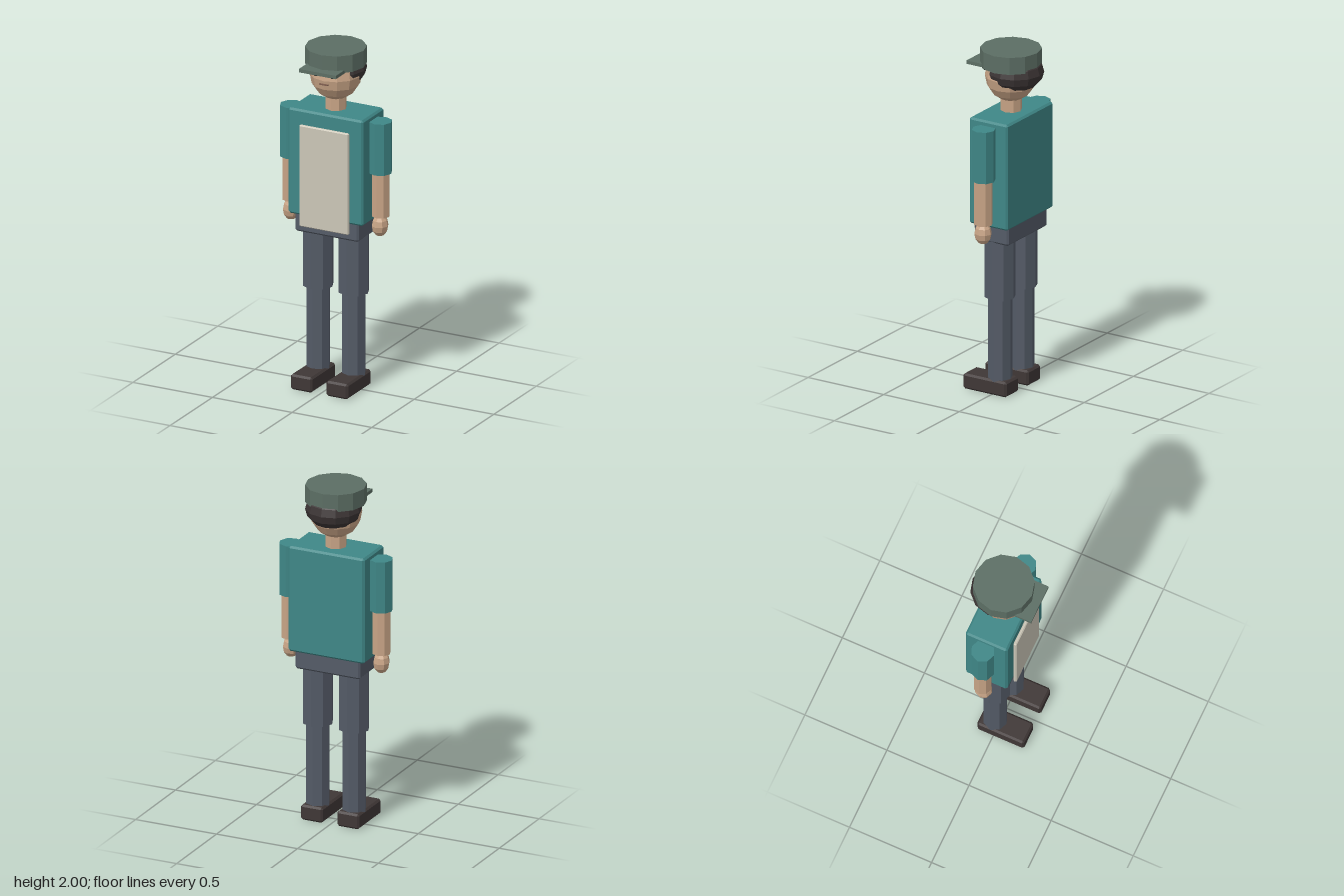
import * as THREE from 'three';
import { ConvexGeometry } from 'three/addons/geometries/ConvexGeometry.js';

const mat = (name, color) => {
  const m = new THREE.MeshStandardMaterial({ color, flatShading: true });
  m.name = name;
  return m;
};

export function createModel() {
  const teal = mat('teal shirt', 0x3f8787);
  const cream = mat('cream apron', 0xcbc6b7);
  const skin = mat('skin', 0xc8a486);
  const slate = mat('slate trousers', 0x545b67);
  const green = mat('grey green cap', 0x5c6e64);
  const hairMat = mat('dark hair', 0x3b3434);
  const shoeMat = mat('dark shoe leather', 0x3f3736);
  const black = mat('black eye', 0x221f20);
  const lip = mat('lip brown', 0x805f50);

  const model = new THREE.Group();
  model.name = 'figure';
  const body = new THREE.Group();
  body.name = 'body';
  body.position.z = -0.017;
  model.add(body);

  const add = (name, geometry, material, x, y, z) => {
    const mesh = new THREE.Mesh(geometry, material);
    mesh.name = name;
    mesh.position.set(x, y, z);
    body.add(mesh);
    return mesh;
  };

  // Box with flat chamfers on every edge
  const chamferBox = (w, h, d, c) => {
    const points = [];
    for (const sx of [-1, 1]) for (const sy of [-1, 1]) for (const sz of [-1, 1]) {
      for (let k = 0; k < 3; k++) {
        const inset = [c, c, c];
        inset[k] = 0;
        points.push(new THREE.Vector3(
          sx * (w / 2 - inset[0]), sy * (h / 2 - inset[1]), sz * (d / 2 - inset[2])));
      }
    }
    return new ConvexGeometry(points);
  };

  // Upright cylinder between two heights
  const column = (name, material, x, y0, y1, r, sides) =>
    add(name, new THREE.CylinderGeometry(r, r, y1 - y0, sides), material, x, (y0 + y1) / 2, 0);

  // Torso, apron panel and hips
  add('torso', chamferBox(0.47, 0.625, 0.254, 0.011), teal, 0, 1.3225, 0);
  add('apron', chamferBox(0.31, 0.6, 0.02, 0.006), cream, 0, 1.252, 0.138);
  add('hips', chamferBox(0.4, 0.13, 0.225, 0.011), slate, 0, 0.971, 0.002);

  // Neck, head and hair
  column('neck', skin, 0, 1.61, 1.73, 0.061, 8);
  add('head', new THREE.SphereGeometry(0.146, 12, 8), skin, 0, 1.838, 0);
  add('hair', new THREE.SphereGeometry(0.159, 12, 8), hairMat, 0, 1.868, -0.03)
    .scale.y = 0.7;

  // Cap
  column('capCrown', green, 0, 1.9, 2, 0.172, 12);
  add('capBrim', new THREE.BoxGeometry(0.232, 0.02, 0.15), green, 0, 1.905, 0.145);

  // Mouth
  add('mouth', new THREE.BoxGeometry(0.054, 0.007, 0.009), lip, 0, 1.818, 0.146);

  // Paired parts
  for (const [side, s] of [['left', 1], ['right', -1]]) {
    add(side + 'Eye', new THREE.SphereGeometry(0.019, 8, 6), black, s * 0.053, 1.876, 0.136);

    column(side + 'Sleeve', teal, s * 0.279, 1.302, 1.605, 0.067, 8);
    column(side + 'Forearm', skin, s * 0.281, 1.044, 1.32, 0.052, 8);
    add(side + 'Hand', new THREE.SphereGeometry(0.047, 8, 6), skin, s * 0.279, 0.988, 0.004)
      .scale.set(1, 1.36, 1.08);

    column(side + 'Thigh', slate, s * 0.112, 0.567, 0.93, 0.088, 8);
    column(side + 'Shin', slate, s * 0.112, 0.08, 0.58, 0.069, 8);
    add(side + 'Shoe', chamferBox(0.136, 0.09, 0.286, 0.011), shoeMat, s * 0.112, 0.045, 0.061);
  }

  return model;
}
